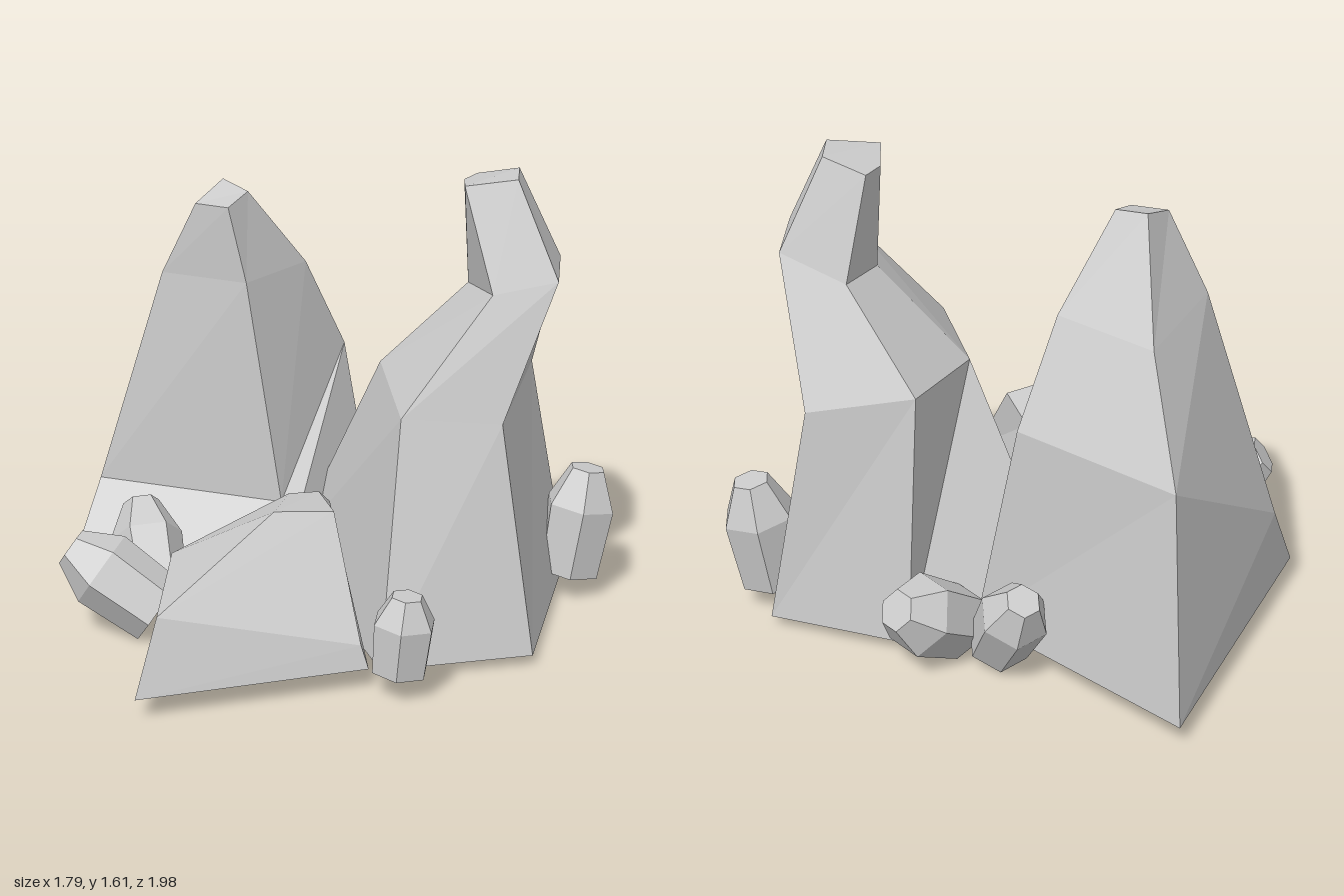
import * as THREE from 'three';

const material = new THREE.MeshStandardMaterial({ color: 0xcccccc, flatShading: true });

// Faceted solid from stacked rings of [x, y, z], counterclockwise from above.
function loft(name, rings) {
  const pos = [];
  const tri = (a, b, c) => pos.push(...a, ...b, ...c);
  const n = rings[0].length;
  for (let r = 0; r < rings.length - 1; r++) {
    for (let i = 0; i < n; i++) {
      const j = (i + 1) % n;
      const lo = rings[r], hi = rings[r + 1];
      tri(lo[i], lo[j], hi[j]);
      tri(lo[i], hi[j], hi[i]);
    }
  }
  const bottom = rings[0], top = rings[rings.length - 1];
  for (let i = 1; i < n - 1; i++) {
    tri(bottom[0], bottom[i + 1], bottom[i]);
    tri(top[0], top[i], top[i + 1]);
  }
  const g = new THREE.BufferGeometry();
  g.setAttribute('position', new THREE.Float32BufferAttribute(pos, 3));
  g.computeVertexNormals();
  const mesh = new THREE.Mesh(g, material);
  mesh.name = name;
  return mesh;
}

// Small six-sided shard running from its foot to its blunt tip.
function shard(name, foot, tip, radius, turn = 0) {
  const a = new THREE.Vector3(...foot), b = new THREE.Vector3(...tip);
  const dir = b.clone().sub(a), len = dir.length();
  const profile = [[0, 0], [0.9, 0], [1, 0.65], [0.5, 1], [0, 1]]
    .map(([r, h]) => new THREE.Vector2(r * radius, h * len));
  const g = new THREE.LatheGeometry(profile, 6).toNonIndexed();
  g.rotateY(turn);
  g.computeVertexNormals();
  const mesh = new THREE.Mesh(g, material);
  mesh.name = name;
  mesh.position.copy(a);
  mesh.quaternion.setFromUnitVectors(new THREE.Vector3(0, 1, 0), dir.normalize());
  return mesh;
}

export function createModel() {
  const group = new THREE.Group();
  group.name = 'rockCluster';

  // Broad four-sided rock leaning forward
  group.add(loft('broadRock', [
    [[-0.85, 0.1, 0.25], [-0.05, 0.1, 0.12], [-0.03, 0.1, -0.6], [-0.9, 0.1, -0.92]],
    [[-0.86, 0.39, 0.03], [-0.16, 0.39, -0.11], [-0.19, 0.85, -0.61], [-0.82, 0.85, -0.8]],
    [[-0.62, 1.2, -0.05], [-0.29, 1.2, -0.09], [-0.25, 1.2, -0.43], [-0.64, 1.2, -0.56]],
    [[-0.48, 1.47, -0.06], [-0.35, 1.47, -0.07], [-0.35, 1.5, -0.2], [-0.48, 1.52, -0.24]],
  ]));

  // Tall five-sided rock with a crooked top
  group.add(loft('tallRock', [
    [[0.5, 0.07, 0.33], [0.89, 0.07, -0.04], [0.64, 0.07, -0.83], [0.13, 0.07, -0.79], [-0.3, 0.07, -0.39]],
    [[0.44, 0.89, 0.1], [0.72, 0.86, -0.1], [0.5, 0.85, -0.78], [0.13, 0.94, -0.7], [0.13, 0.92, -0.31]],
    [[0.63, 1.28, -0.18], [0.81, 1.32, -0.31], [0.68, 1.32, -0.6], [0.43, 1.25, -0.6], [0.43, 1.24, -0.39]],
    [[0.48, 1.62, -0.25], [0.63, 1.64, -0.35], [0.56, 1.64, -0.5], [0.4, 1.6, -0.5], [0.4, 1.6, -0.4]],
  ]));

  // Low wedge-shaped rock in front
  group.add(loft('frontRock', [
    [[-0.04, 0.11, 1], [0.5, 0.11, 0.41], [0.08, 0.11, -0.06], [-0.32, 0.11, 0.38]],
    [[-0.03, 0.36, 0.88], [0.47, 0.19, 0.41], [0.06, 0.45, -0.08], [-0.28, 0.36, 0.42]],
    [[0.1, 0.575, 0.36], [0.24, 0.55, 0.2], [0.08, 0.53, 0.03], [0, 0.53, 0.1]],
  ]));

  // Small shards around the foot
  group.add(
    shard('frontShard', [-0.34, 0.13, 0.42], [-0.64, 0.34, 0.52], 0.14, 0.3),
    shard('sideShard', [-0.42, 0.11, 0.32], [-0.61, 0.38, 0.13], 0.13, 0.2),
    shard('cornerShard', [0.6, 0.12, 0.38], [0.62, 0.39, 0.37], 0.11, 0.4),
    shard('backCornerShard', [0.73, 0.12, -0.66], [0.77, 0.51, -0.71], 0.13, 0.5),
    shard('backShard', [0, 0.13, -0.68], [0.09, 0.29, -0.94], 0.14, 0.1),
    shard('backSideShard', [-0.16, 0.1, -0.7], [-0.31, 0.36, -0.82], 0.12, 0.6),
  );
  return group;
}
